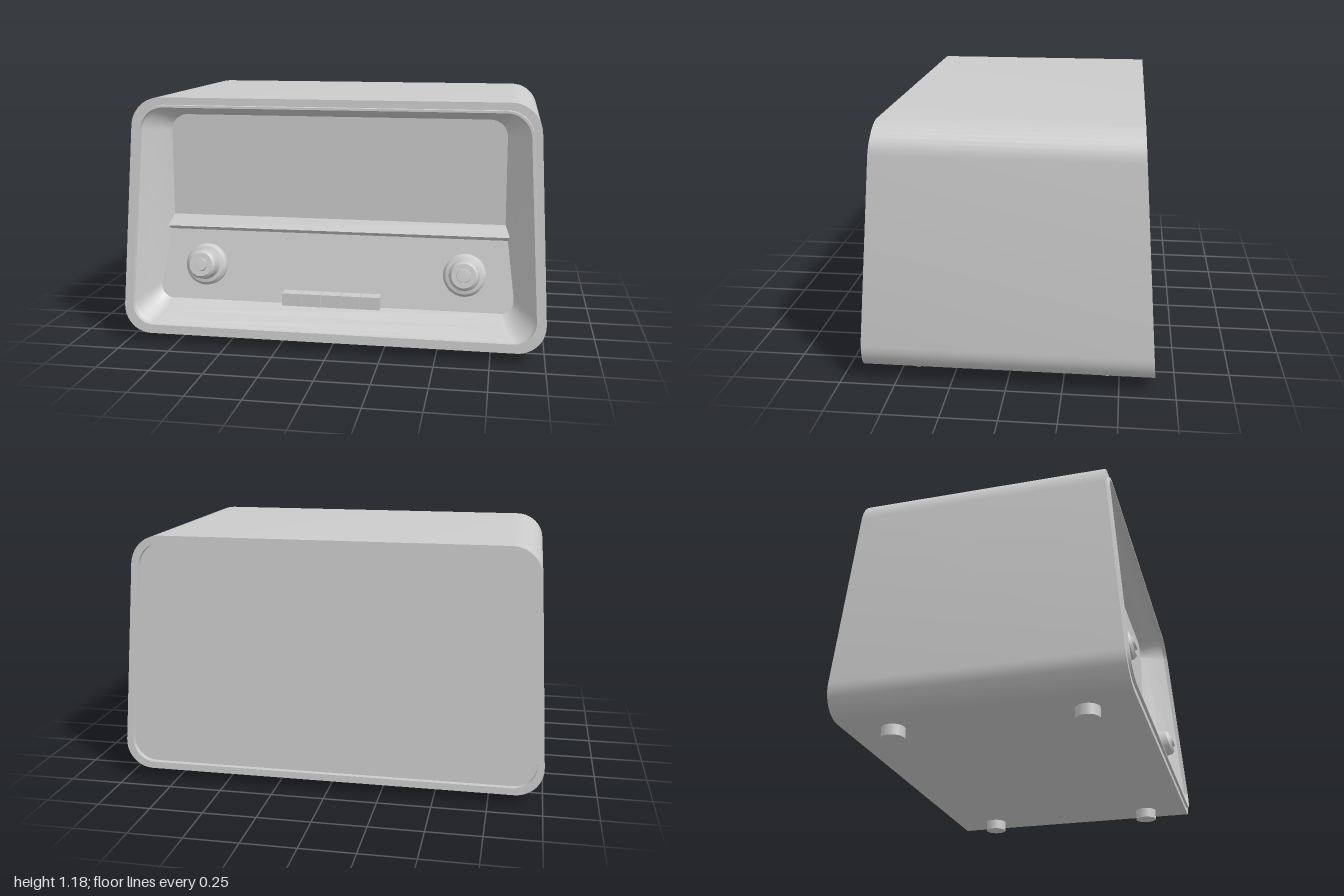
import * as THREE from 'three';
import { toCreasedNormals } from 'three/addons/utils/BufferGeometryUtils.js';

const material = new THREE.MeshStandardMaterial({ color: 0xcccccc });
const SEG = 10;

function add(parent, geometry, name, x = 0, y = 0, z = 0) {
  const mesh = new THREE.Mesh(geometry, material);
  mesh.name = name;
  mesh.position.set(x, y, z);
  parent.add(mesh);
  return mesh;
}

// Front and back faces lean inwards towards the top
const frontZ = (y) => 0.652 - 0.072 * (y - 0.05);
const backZ = (y) => -0.66 + 0.072 * (y - 0.05);

// Rounded trapezoid, anticlockwise seen from the front
function ring({ wb, wt, y0, y1, rb, rt }, zAt) {
  const slope = (wb - wt) / (y1 - y0);
  const a = Math.atan(slope);
  const right = [];
  const corner = (cy, r, from, to) => {
    const cx = wb - slope * (cy - y0) - r / Math.cos(a);
    for (let i = 0; i <= SEG; i++) {
      const t = from + ((to - from) * i) / SEG;
      right.push([cx + r * Math.cos(t), cy + r * Math.sin(t)]);
    }
  };
  corner(y0 + rb, rb, -Math.PI / 2, a);
  corner(y1 - rt, rt, a, Math.PI / 2);
  const left = right.map(([x, y]) => [-x, y]).reverse();
  return [...right, ...left].map(([x, y]) => [x, y, zAt(y)]);
}

// The cabinet outline, moved inwards by i
const outline = (i) => ({
  wb: 1.008 - i, wt: 0.945 - i, y0: 0.05 + i, y1: 1.18 - i, rb: 0.13 - i * 0.6, rt: 0.14 - i * 0.6,
});

// Skin over successive rings, closed at both ends
function loft(rings) {
  const n = rings[0].length;
  const positions = rings.flat(2);
  const index = [];
  for (let k = 0; k < rings.length - 1; k++) {
    for (let i = 0; i < n; i++) {
      const a = k * n + i, b = k * n + ((i + 1) % n);
      index.push(a, b, b + n, a, b + n, a + n);
    }
  }
  const last = (rings.length - 1) * n;
  for (let i = 1; i < n - 1; i++) {
    index.push(0, i + 1, i, last, last + i, last + i + 1);
  }
  const g = new THREE.BufferGeometry();
  g.setAttribute('position', new THREE.Float32BufferAttribute(positions, 3));
  g.setIndex(index);
  return toCreasedNormals(g, 0.45);
}

export function createModel() {
  const radio = new THREE.Group();
  radio.name = 'tableRadio';

  // Cabinet shell: sunken back, outer skin, raised front bead, flared recess
  const front = (d) => (y) => frontZ(y) + d;
  const back = (d) => (y) => backZ(y) + d;
  add(radio, loft([
    ring(outline(0.032), back(0.025)),
    ring(outline(0.032), back(0)),
    ring(outline(0), back(0)),
    ring(outline(0), front(0)),
    ring(outline(0.034), front(0)),
    ring(outline(0.036), front(0.012)),
    ring(outline(0.046), front(0.012)),
    ring(outline(0.048), front(-0.008)),
    ring({ wb: 0.945, wt: 0.885, y0: 0.11, y1: 1.13, rb: 0.1, rt: 0.11 }, front(-0.022)),
    ring({ wb: 0.90, wt: 0.85, y0: 0.15, y1: 1.115, rb: 0.09, rt: 0.1 }, front(-0.055)),
    ring({ wb: 0.86, wt: 0.82, y0: 0.2, y1: 1.1, rb: 0.07, rt: 0.09 }, front(-0.1)),
    ring({ wb: 0.805, wt: 0.8, y0: 0.22, y1: 1.09, rb: 0.06, rt: 0.08 }, () => 0.445),
  ]), 'cabinet');

  // Sloping control panel with a ledge along its top
  const profile = new THREE.Shape(
    [[0.43, 0.2], [0.542, 0.2], [0.466, 0.53], [0.482, 0.547], [0.445, 0.6], [0.43, 0.6]]
      .map(([z, y]) => new THREE.Vector2(z, y)));
  const panel = new THREE.ExtrudeGeometry(profile, { depth: 1.74, bevelEnabled: false });
  panel.rotateY(-Math.PI / 2);
  add(radio, panel, 'controlPanel', 0.87);

  // Stepped knobs, square to the panel
  const knobProfile = [[0.1, 0], [0.1, 0.025], [0.088, 0.042], [0.072, 0.046], [0.067, 0.105],
    [0.056, 0.118], [0.032, 0.118], [0.03, 0.13], [0, 0.132]].map(([r, h]) => new THREE.Vector2(r, h));
  const knob = toCreasedNormals(new THREE.LatheGeometry(knobProfile, 32), 0.5);
  for (const side of [-1, 1]) {
    const mesh = add(radio, knob, side > 0 ? 'leftKnob' : 'rightKnob', side * 0.622, 0.367, 0.502);
    mesh.rotation.x = Math.PI / 2 - 0.23;
  }

  // Row of push buttons
  const buttons = new THREE.Group();
  buttons.name = 'pushButtons';
  radio.add(buttons);
  const button = new THREE.BoxGeometry(0.091, 0.06, 0.09);
  for (let i = -2; i <= 2; i++) add(buttons, button, 'pushButton', i * 0.094, 0.232, 0.545);

  // Feet
  const foot = new THREE.CylinderGeometry(0.054, 0.054, 0.06, 24);
  for (const x of [-0.76, 0.76]) {
    for (const z of [-0.44, 0.435]) add(radio, foot, 'foot', x, 0.03, z);
  }
  return radio;
}
